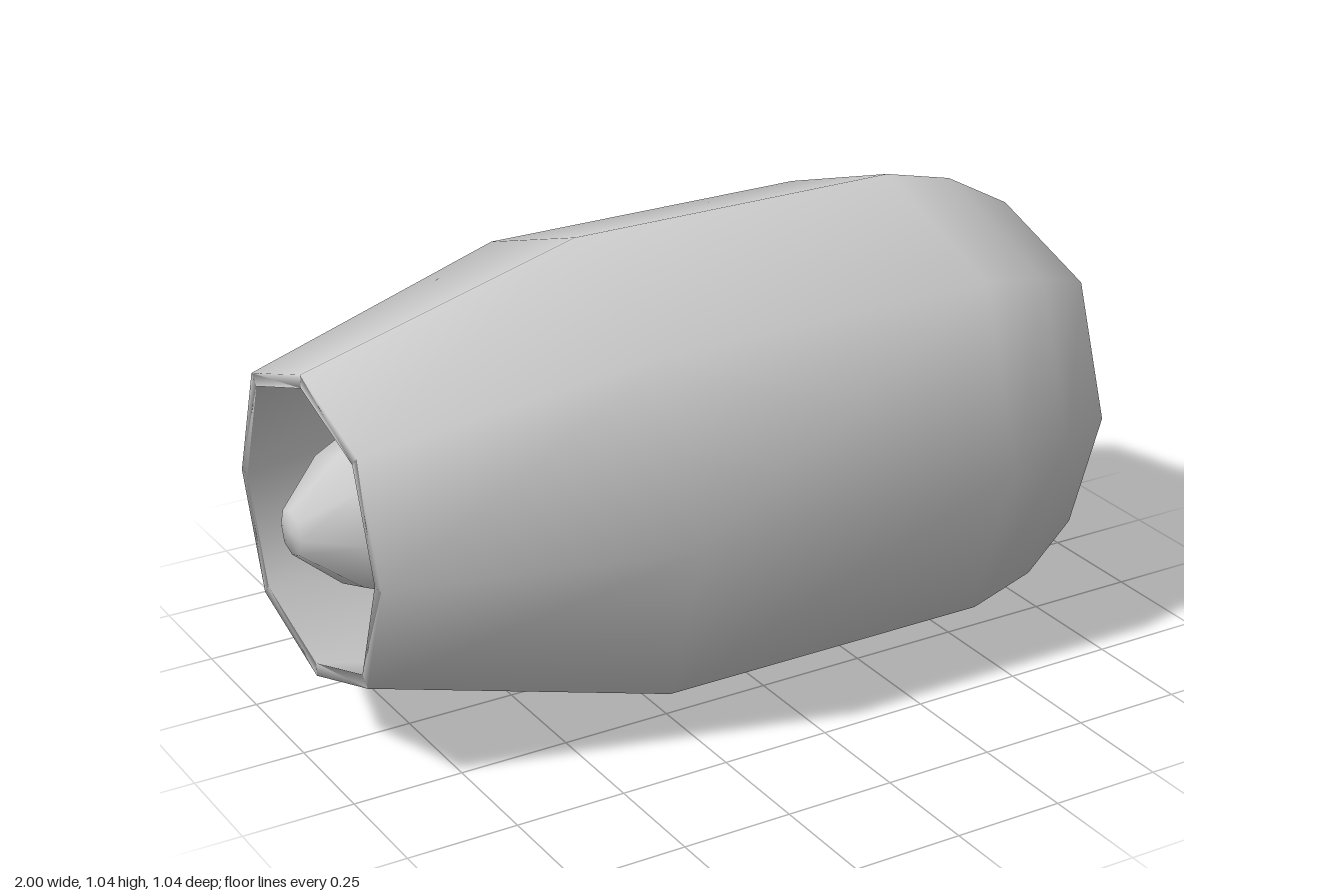
import * as THREE from 'three';

const material = new THREE.MeshStandardMaterial({ color: 0xcccccc, side: THREE.DoubleSide });

// Eight-sided smooth lathe along x; profile points are [x, radius].
// The diagonal corners sit slightly further out than the axis-aligned ones.
function turned(name, profile) {
  const geometry = new THREE.LatheGeometry(profile.map(([x, r]) => new THREE.Vector2(r, x)), 8);
  const pos = geometry.attributes.position;
  for (let i = 0; i < pos.count; i++) {
    const column = Math.floor(i / profile.length);
    const k = column % 2 ? 1.055 : 1;
    pos.setXYZ(i, pos.getX(i) * k, pos.getY(i), pos.getZ(i) * k);
  }
  geometry.rotateZ(-Math.PI / 2);
  const mesh = new THREE.Mesh(geometry, material);
  mesh.name = name;
  return mesh;
}

export function createModel() {
  const engine = new THREE.Group();
  engine.name = 'engine';

  // Hollow casing: inner wall back to the exhaust, outer skin forward, lip and inner wall again
  engine.add(turned('casing', [
    [0, 0.48], [-0.32, 0.48], [-0.96, 0.315],
    [-0.96, 0.345], [-0.32, 0.52], [0.47, 0.52], [0.64, 0.48], [0.8, 0.393],
    [0.8, 0.357], [0.64, 0.44], [0.47, 0.48], [0, 0.48],
  ]));

  // Intake spinner, widening back to the bulkhead
  engine.add(turned('intakeSpinner', [
    [0.3, 0.48], [0.36, 0.36], [0.52, 0.3], [0.8, 0.19], [0.9, 0.155], [1, 0.088], [1, 0],
  ]));

  // Exhaust cone, widening forward to the bulkhead
  engine.add(turned('exhaustCone', [
    [-1, 0], [-1, 0.05], [-0.89, 0.145], [-0.7, 0.225], [-0.5, 0.3], [-0.45, 0.445],
  ]));

  engine.position.y = 0.52;
  const model = new THREE.Group();
  model.add(engine);
  return model;
}
